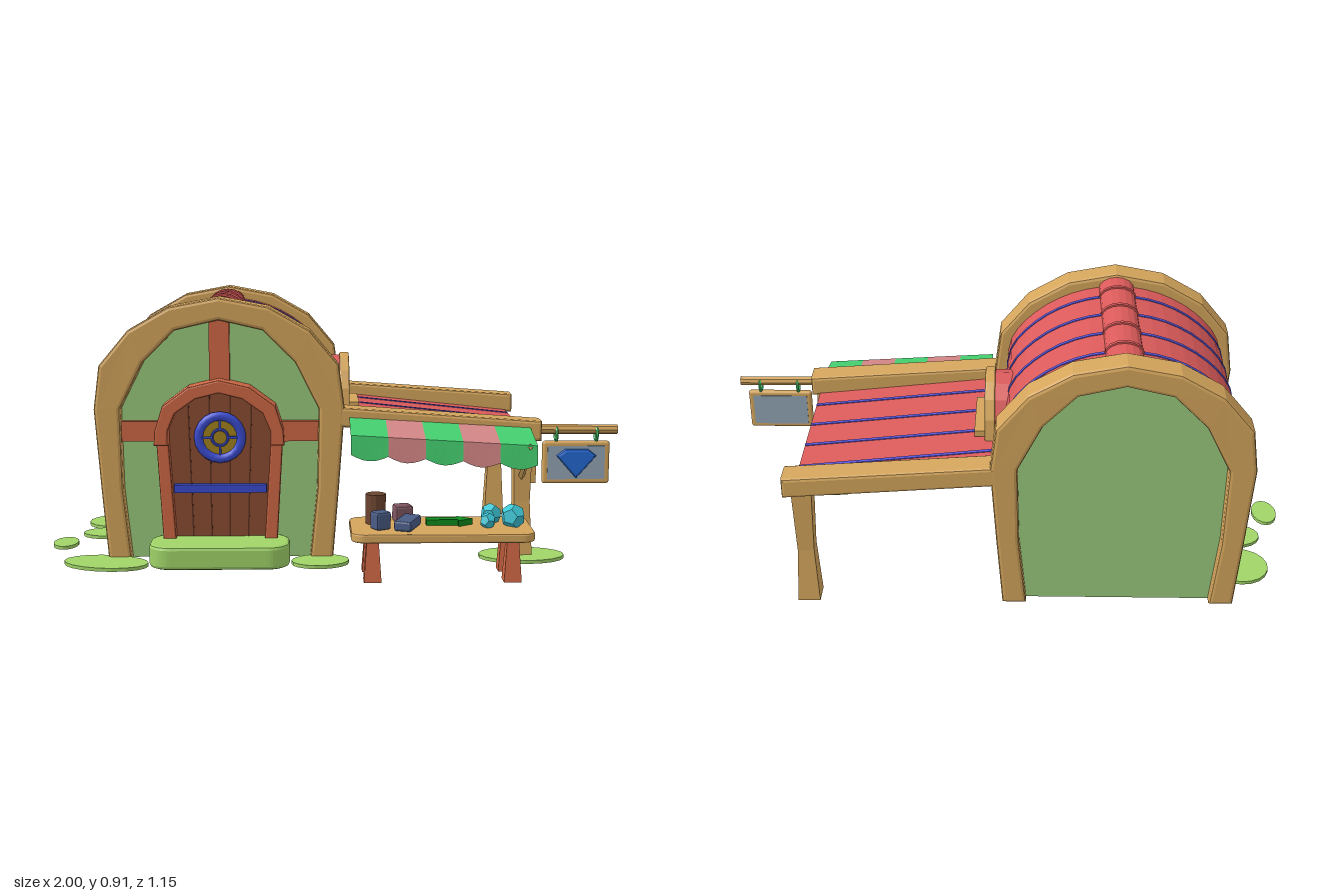
import * as THREE from 'three';
import { RoundedBoxGeometry } from 'three/addons/geometries/RoundedBoxGeometry.js';

const C = {
  wood: 0xd4a55c, red: 0xdb5a5a, wall: 0x98c97c, stripe: 0x5a58e0, orange: 0xcf6844, door: 0x8a4c32,
  plank: 0x5a2f1f, blue: 0x3a4bd0, glass: 0xa0801c, green: 0x45d070, pink: 0xd48686, grass: 0xa0d468,
  teal: 0x3cc4d4, navy: 0x4a5c86, brown: 0x6b4430, mauve: 0x7d5560, arrow: 0x0f8a1c, panel: 0x93a5b5, gem: 0x2468d0,
};
const CX = -0.38; // centre line of the house

export function createModel() {
  const root = new THREE.Group();

  const add = (name, geo, color, x = 0, y = 0, z = 0, parent = root, flat = true) => {
    const m = new THREE.Mesh(geo, new THREE.MeshStandardMaterial({ color, flatShading: flat }));
    m.name = name;
    m.position.set(x, y, z);
    parent.add(m);
    return m;
  };
  const box = (name, w, h, d, color, x, y, z, parent) =>
    add(name, new THREE.BoxGeometry(w, h, d), color, x, y, z, parent);
  const group = (name, x = 0, y = 0, z = 0) => {
    const g = new THREE.Group();
    g.name = name;
    g.position.set(x, y, z);
    root.add(g);
    return g;
  };
  // Extrudes an outline (points or a shape) from z0 to z1, bevel kept inside the outline
  const extrude = (outline, z0, z1, bevel = 0) => {
    const shape = Array.isArray(outline) ? new THREE.Shape(outline.map(p => new THREE.Vector2(...p))) : outline;
    const g = new THREE.ExtrudeGeometry(shape, {
      depth: z1 - z0 - 2 * bevel, bevelEnabled: bevel > 0, bevelSize: bevel,
      bevelThickness: bevel, bevelOffset: -bevel, bevelSegments: 2, curveSegments: 6,
    });
    return g.translate(0, 0, z0 + bevel);
  };
  // Completes the left half of an arch by mirroring it about the house centre
  const mirrored = half => [...half, ...half.slice(0, -1).reverse().map(([x, y]) => [2 * CX - x, y])];
  const halfEllipse = (rx, ry, n) => Array.from({ length: n + 1 }, (_, i) =>
    [-rx * Math.cos(Math.PI * i / n), ry * Math.sin(Math.PI * i / n)]);
  const roundRect = (w, h, r) => {
    const s = new THREE.Shape(), a = w / 2, b = h / 2;
    s.absarc(a - r, b - r, r, 0, Math.PI / 2);
    s.absarc(-a + r, b - r, r, Math.PI / 2, Math.PI);
    s.absarc(-a + r, -b + r, r, Math.PI, Math.PI * 1.5);
    s.absarc(a - r, -b + r, r, Math.PI * 1.5, Math.PI * 2);
    return s;
  };
  const post = (name, wTop, wBottom, h, color, x, y, z) => add(name,
    new THREE.CylinderGeometry(wTop / Math.SQRT2, wBottom / Math.SQRT2, h, 4).rotateY(Math.PI / 4), color, x, y + h / 2, z);
  const rod = (name, a, b, r, color, sides = 8) => {
    const A = new THREE.Vector3(...a), B = new THREE.Vector3(...b), d = B.clone().sub(A);
    const m = add(name, new THREE.CylinderGeometry(r, r, d.length(), sides), color);
    m.position.copy(A).add(B).multiplyScalar(0.5);
    m.quaternion.setFromUnitVectors(new THREE.Vector3(0, 1, 0), d.normalize());
  };

  // House body
  const roofHalf = [[-0.768, 0.5], [-0.75, 0.66], [-0.665, 0.765], [-0.535, 0.84], [-0.38, 0.868]];
  const bodyHalf = [[-0.72, 0], ...roofHalf.map(([x, y]) => [CX + (x - CX) * 0.97, y - 0.015])];
  add('houseBody', extrude(mirrored(bodyHalf), -0.525, 0.18), C.wall);

  // Timber arches, thinner in depth towards the ground
  const outer = mirrored([[-0.77, 0], [-0.79, 0.25], [-0.81, 0.53], [-0.79, 0.68], [-0.69, 0.8], [-0.55, 0.88], [-0.38, 0.912]]);
  const inner = mirrored([[-0.69, 0], [-0.715, 0.25], [-0.72, 0.53], [-0.64, 0.69], [-0.53, 0.8], [-0.38, 0.835]]);
  for (const [name, zc] of [['frontArch', 0.186], ['backArch', -0.522]]) {
    const geo = extrude([...outer, ...inner.slice().reverse()], -0.052, 0.052, 0.012);
    const p = geo.attributes.position;
    for (let i = 0; i < p.count; i++) p.setZ(i, p.getZ(i) * (0.78 + 0.22 * Math.min(1, p.getY(i) / 0.7)));
    add(name, geo, C.wood, 0, 0, zc);
  }

  // Curved roof shell with stripes, ridge cap and eave rails
  const curve = new THREE.CatmullRomCurve3(mirrored(roofHalf).map(([x, y]) => new THREE.Vector3(x, y, 0)));
  const shell = (t, lift) => {
    const line = curve.getPoints(24).map(p => [p.x, p.y]);
    const offset = k => line.map(([x, y]) => [CX + (x - CX) * (1 + k / 0.38), y + k * Math.max(0, (y - 0.5) / 0.37)]);
    return [...offset(lift), ...offset(lift - t).reverse()];
  };
  add('roof', extrude(shell(0.02, 0), -0.48, 0.15), C.red);
  const stripeZ = [0.047, -0.098, -0.241, -0.385];
  const cap = halfEllipse(0.062, 0.042, 8), band = halfEllipse(0.066, 0.048, 8);
  add('ridgeCap', extrude(cap, -0.48, 0.15), C.red, CX, 0.859, 0);
  const annexRoof = [[0, 0.5], [0.7, 0.425], [0.7, 0.41], [0, 0.485]];
  add('annexRoof', extrude(annexRoof, -0.48, 0.15), C.red);
  for (const z of stripeZ) {
    add('roofStripe', extrude(shell(0.01, 0.003), z - 0.007, z + 0.007), C.stripe);
    add('annexStripe', extrude(annexRoof.map(([x, y], i) => [x, y + (i < 2 ? 0.003 : -0.003)]), z - 0.007, z + 0.007), C.stripe);
    add('ridgeBand', extrude(band, z - 0.007, z + 0.007), C.red, CX, 0.859, 0);
  }
  for (const x of [0.018, -0.778]) box('eaveRail', 0.022, 0.022, 0.62, C.wood, x, 0.51, -0.165);

  // Annex beams and posts
  for (const z of [0.186, -0.522]) {
    add('annexBeam', extrude([[-0.01, 0.538], [0.73, 0.485], [0.73, 0.415], [-0.01, 0.47]], -0.048, 0.048, 0.01), C.wood, 0, 0, z);
    post('annexPostFoot', 0.055, 0.075, 0.2, C.wood, 0.668, 0, z);
    post('annexPost', 0.068, 0.055, 0.24, C.wood, 0.668, 0.2, z);
  }

  // Dormer window facing the annex side
  const dormer = group('dormer', 0, 0.495, -0.17);
  dormer.rotation.y = Math.PI / 2;
  add('dormerHood', extrude(halfEllipse(0.143, 0.182, 8), -0.12, 0.05), C.red, 0, 0, 0, dormer);
  const dormerShape = new THREE.Shape(halfEllipse(0.152, 0.19, 8).map(p => new THREE.Vector2(...p)));
  dormerShape.holes.push(new THREE.Path(halfEllipse(0.117, 0.14, 8).map(([x, y]) => new THREE.Vector2(x, y + 0.015))));
  add('dormerFrame', extrude(dormerShape, 0.04, 0.075, 0.005), C.wood, 0, 0, 0, dormer);
  add('dormerGlass', extrude(halfEllipse(0.125, 0.155, 8), 0.04, 0.058), C.glass, 0, 0.005, 0, dormer);
  box('dormerSill', 0.24, 0.022, 0.05, C.wood, 0, 0.01, 0.085, dormer);
  for (const a of [-1.05, -0.5, 0, 0.5, 1.05]) {
    const s = box('dormerSpoke', 0.012, 0.13, 0.012, C.wood, -Math.sin(a) * 0.068, 0.015 + Math.cos(a) * 0.068, 0.062, dormer);
    s.rotation.z = a;
  }

  // Front bars around the door
  box('topBar', 0.07, 0.23, 0.04, C.orange, CX, 0.725, 0.19);
  for (const s of [-1, 1]) box('sideBar', 0.16, 0.07, 0.04, C.orange, CX + s * 0.27, 0.45, 0.19);

  // Door with planks, surround, handle bar and round window
  const doorHalf = [[-0.535, 0.06], [-0.565, 0.45], [-0.535, 0.53], [-0.465, 0.58], [-0.38, 0.6]];
  add('door', extrude(mirrored(doorHalf), 0.17, 0.205), C.door);
  for (const k of [-1.5, -0.5, 0.5, 1.5]) {
    const h = Math.abs(k) > 1 ? 0.47 : 0.51;
    const seam = box('plankSeam', 0.005, h, 0.004, C.plank, CX + k * 0.068, 0.07 + h / 2, 0.206);
    seam.rotation.z = -k * 0.02;
  }
  const archOut = mirrored([[-0.603, 0.41], [-0.6, 0.46], [-0.573, 0.545], [-0.485, 0.61], [-0.38, 0.635]]);
  const archIn = mirrored([[-0.555, 0.41], [-0.555, 0.46], [-0.53, 0.52], [-0.46, 0.57], [-0.38, 0.59]]);
  add('doorArch', extrude([...archOut, ...archIn.reverse()], 0.18, 0.272, 0.006), C.orange);
  for (const s of [-1, 1]) {
    const leg = [[0.195, 0.03], [0.217, 0.42], [0.175, 0.42], [0.15, 0.03]].map(([x, y]) => [CX + s * x, y]);
    add('doorJamb', extrude(leg, 0.17, 0.242, 0.006), C.orange);
  }
  box('doorBar', 0.32, 0.028, 0.024, C.blue, CX, 0.252, 0.217);
  add('windowRing', new THREE.TorusGeometry(0.074, 0.016, 8, 20), C.blue, CX, 0.43, 0.213, root, false);
  add('windowGlass', new THREE.CylinderGeometry(0.07, 0.07, 0.02, 20).rotateX(Math.PI / 2), C.glass, CX, 0.43, 0.205);
  add('windowInnerRing', new THREE.TorusGeometry(0.028, 0.005, 6, 16), C.blue, CX, 0.43, 0.217);
  for (let i = 0; i < 4; i++) {
    const a = i * Math.PI / 2;
    const s = box('windowSpoke', 0.036, 0.008, 0.008, C.blue, CX + Math.cos(a) * 0.046, 0.43 + Math.sin(a) * 0.046, 0.217);
    s.rotation.z = a;
  }

  // Door step and grass pads
  add('doorStep', extrude(roundRect(0.48, 0.21, 0.075), 0, 0.08, 0.012).rotateX(Math.PI / 2), C.grass, CX, 0.08, 0.27);
  for (const [x, z, rx, rz, r] of [[-0.82, -0.345, 0.1, 0.1, 0.3], [-0.82, -0.155, 0.095, 0.07, 0], [-0.955, 0, 0.045, 0.073, 0],
    [-0.77, 0.29, 0.15, 0.09, -0.25], [-0.035, 0.28, 0.1, 0.08, 0.2], [0.67, 0.205, 0.15, 0.1, 0]]) {
    const pad = add('grassPad', new THREE.CylinderGeometry(1, 1, 0.012, 18), C.grass, x, 0.006, z);
    pad.scale.set(rx, 1, rz);
    pad.rotation.y = r;
  }

  // Striped awning with scalloped valance
  const awning = group('awning');
  for (let i = 0; i < 5; i++) {
    const geo = new THREE.PlaneGeometry(1, 1, 6, 2), p = geo.attributes.position;
    for (let k = 0; k < p.count; k++) {
      const u = p.getX(k) + 0.5, row = Math.round((0.5 - p.getY(k)) * 2), x = 0.065 + (i + u) * 0.125;
      const y = [0.503, 0.465, 0.4 - 0.018 * Math.sin(Math.PI * u)][row] - 0.06 * (x - 0.065);
      p.setXYZ(k, x, y, [0.225, 0.393, 0.398][row]);
    }
    add('awningStripe', geo, i % 2 ? C.pink : C.green, 0, 0, 0, awning).material.side = THREE.DoubleSide;
  }
  rod('awningStrut', [0.665, 0.425, 0.392], [0.665, 0.28, 0.2], 0.011, C.wood, 4);
  box('strutBracket', 0.025, 0.165, 0.022, C.wood, 0.705, 0.345, 0.186);

  // Hanging sign with a gem emblem
  rod('signPole', [0.7, 0.452, 0.186], [1, 0.45, 0.186], 0.017, C.wood);
  const sign = group('sign', 0.857, 0.335, 0.186);
  add('signFrame', new RoundedBoxGeometry(0.235, 0.15, 0.024, 2, 0.01), C.wood, 0, 0, 0, sign, false);
  box('signPanel', 0.2, 0.118, 0.028, C.panel, 0, 0, 0, sign);
  const gemShape = [[-0.07, 0.025], [-0.04, 0.048], [0.04, 0.048], [0.07, 0.025], [0, -0.055]];
  add('signGem', extrude(gemShape, 0, 0.026, 0.009), C.gem, 0, 0, 0, sign);
  for (const x of [-0.07, 0.07]) {
    const ring = add('signHanger', new THREE.TorusGeometry(0.024, 0.005, 6, 12), C.green, x, 0.1, 0, sign);
    ring.rotation.y = Math.PI / 2;
  }

  // Market table
  add('tableTop', extrude(roundRect(0.6, 0.272, 0.045), 0, 0.03, 0.006).rotateX(Math.PI / 2), C.wood, 0.362, 0.17, 0.441);
  for (const x of [0.133, 0.592]) for (const z of [0.373, 0.512])
    post('tableLeg', 0.038, 0.058, 0.142, C.orange, x, 0, z);

  // Goods on the table
  add('barrel', new THREE.CylinderGeometry(0.034, 0.034, 0.1, 12), C.brown, 0.148, 0.22, 0.405);
  for (const [x, z, w, h, d, r, c] of [[0.16, 0.495, 0.055, 0.06, 0.05, 0.5, C.navy],
    [0.25, 0.48, 0.06, 0.035, 0.125, -0.35, C.navy], [0.24, 0.385, 0.06, 0.058, 0.06, 0.2, C.mauve]])
    add('crate', new RoundedBoxGeometry(w, h, d, 1, 0.008), c, x, 0.17 + h / 2, z).rotation.y = r;
  const arrow = [[-0.075, -0.02], [0.03, -0.02], [0.03, -0.036], [0.08, 0], [0.03, 0.036], [0.03, 0.02], [-0.075, 0.02]];
  add('arrow', extrude(arrow, 0, 0.02).rotateX(Math.PI / 2), C.arrow, 0.39, 0.19, 0.43);
  for (const [x, z, r, t] of [[0.515, 0.475, 0.028, 0.4], [0.6, 0.46, 0.042, 1.1], [0.535, 0.4, 0.036, 2]]) {
    const g = add('crystal', new THREE.DodecahedronGeometry(r), C.teal, x, 0.168 + r * 0.85, z);
    g.rotation.set(t, t * 2, 0);
  }
  return root;
}
